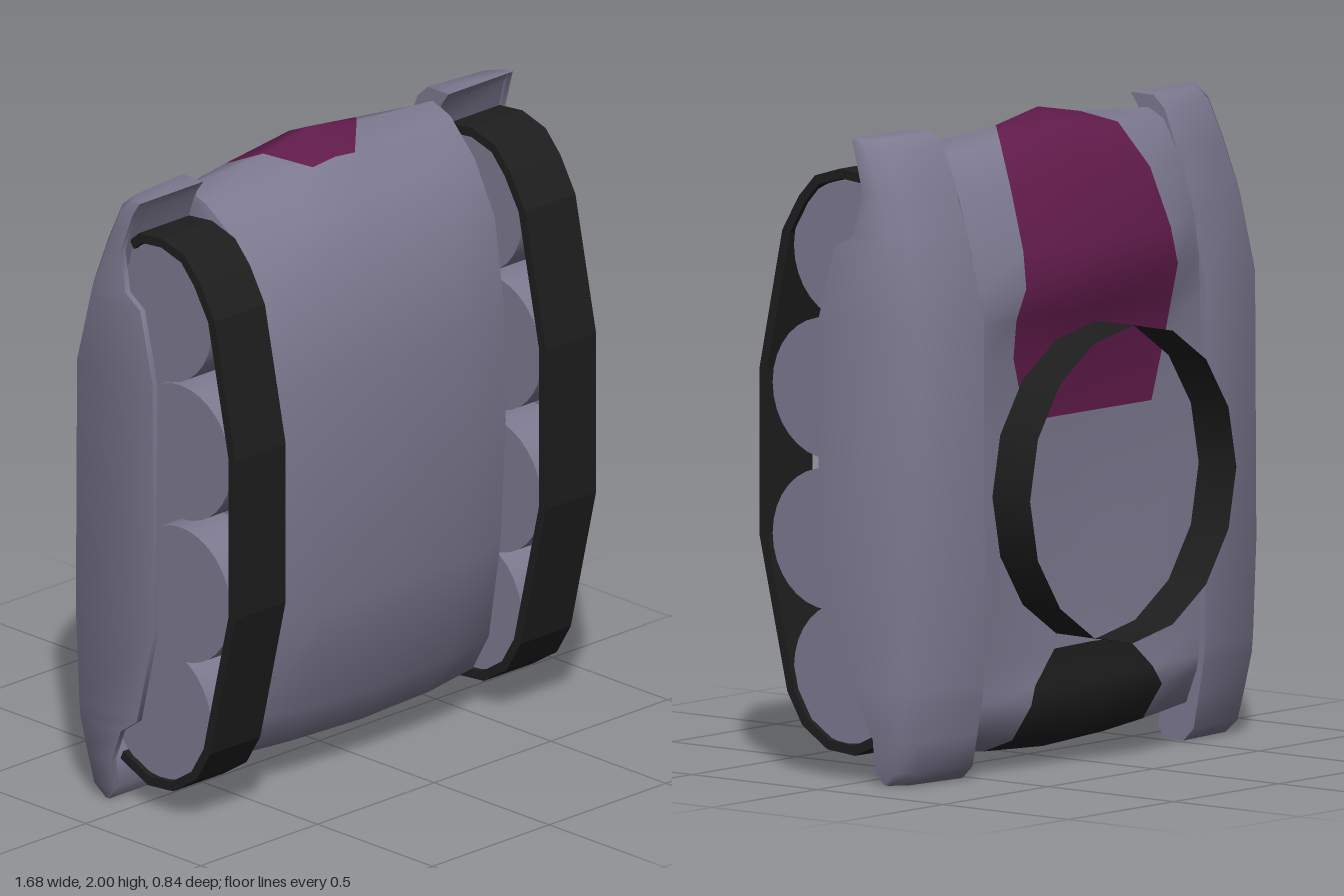
import * as THREE from 'three';
import { toCreasedNormals } from 'three/addons/utils/BufferGeometryUtils.js';

const armor = new THREE.MeshStandardMaterial({ color: 0x7d7a91 });
armor.name = 'slate armour';
const plum = new THREE.MeshStandardMaterial({ color: 0x621c4c });
plum.name = 'plum paint';
const black = new THREE.MeshStandardMaterial({ color: 0x1e1e1e, side: THREE.DoubleSide });
black.name = 'black rubber';

// Skin rows of points; paint(row, column) gives the material index
function skin(rows, closeRows, closeCols, crease, paint = () => 0) {
  const n = rows[0].length, pos = rows.flat(2), lists = [[], [], []];
  const at = (k) => new THREE.Vector3().fromArray(pos, k * 3);
  const tri = (list, a, b, c) => {
    const area = at(b).sub(at(a)).cross(at(c).sub(at(a))).length();
    if (area > 1e-7) list.push(a, b, c);
  };
  for (let i = 0; i < rows.length - (closeRows ? 0 : 1); i++) {
    for (let j = 0; j < n - (closeCols ? 0 : 1); j++) {
      const i2 = ((i + 1) % rows.length) * n, j2 = (j + 1) % n, i1 = i * n;
      const list = lists[paint(i, j)];
      tri(list, i1 + j, i1 + j2, i2 + j2);
      tri(list, i1 + j, i2 + j2, i2 + j);
    }
  }
  const geo = new THREE.BufferGeometry();
  geo.setAttribute('position', new THREE.Float32BufferAttribute(pos, 3));
  geo.setIndex(lists.flat());
  let start = 0;
  lists.forEach((l, m) => {
    if (l.length) geo.addGroup(start, l.length, m);
    start += l.length;
  });
  return toCreasedNormals(geo, crease);
}

function add(parent, name, geo, mat) {
  const mesh = new THREE.Mesh(geo, mat);
  mesh.name = name;
  parent.add(mesh);
  return mesh;
}

// Hull: lengthwise outline, each row crossing from side to side.
// [centre y, centre z, panel half width, edge y, edge z]
function hullGeometry() {
  const belly = [
    [0.065, 0.06, 0.28, 0.08, 0.04],
    [0.12, 0.18, 0.30, 0.14, 0.15],
    [0.25, 0.27, 0.30, 0.27, 0.23],
    [0.60, 0.33, 0.30, 0.60, 0.29],
    [1.00, 0.355, 0.30, 1.00, 0.315],
    [1.35, 0.35, 0.30, 1.35, 0.31],
    [1.65, 0.30, 0.30, 1.65, 0.26],
    [1.83, 0.19, 0.25, 1.81, 0.16],
  ];
  const plumPanel = [
    [1.93, 0.07, 0.09, 1.91, 0.04],
    [2.00, -0.04, 0.20, 1.94, -0.04],
    [1.96, -0.13, 0.28, 1.91, -0.10],
    [1.80, -0.22, 0.33, 1.79, -0.17],
    [1.60, -0.29, 0.35, 1.62, -0.22],
    [1.50, -0.31, 0.36, 1.50, -0.24],
    [1.40, -0.27, 0.37, 1.40, -0.245],
    [1.28, -0.245, 0.36, 1.28, -0.245],
  ];
  const deck = [[1.08, -0.24, 0.30, 1.08, -0.245]];
  const blackPanel = [
    [0.37, -0.25, 0.17, 0.36, -0.245],
    [0.26, -0.27, 0.28, 0.27, -0.24],
    [0.20, -0.285, 0.31, 0.22, -0.23],
    [0.08, -0.20, 0.31, 0.12, -0.19],
    [0.03, -0.06, 0.28, 0.07, -0.06],
  ];
  const outline = [belly, plumPanel, deck, blackPanel].flat();
  const rows = outline.map(([yc, zc, hw, ye, ze]) => {
    const drop = yc > 1 ? 0.6 : 0.35;
    const half = [
      [hw, yc + (ye - yc) * drop, zc + (ze - zc) * 0.2],
      [0.53 - Math.max(0, ze) * 0.13, ye, ze],
      [0.53, 1 + (ye - 1) * 0.98, ze * 0.5],
      [0.53, 1 + (ye - 1) * 0.96, 0],
    ];
    const mirrored = half.map(([x, y, z]) => [-x, y, z]).reverse();
    return [...mirrored, [0, yc, zc], ...half];
  });
  const paint = (i, j) => {
    if (j !== 3 && j !== 4) return 0;
    return plumPanel.includes(outline[i]) ? 1 : blackPanel.includes(outline[i]) ? 2 : 0;
  };
  return skin(rows, true, false, 1.1, paint);
}

// Fender with hanging side skirt: [y, deck z, skirt z, underside z, outer x]
function fenderGeometry(side) {
  const stations = [
    [0.00, -0.18, -0.10, -0.10, 0.80],
    [0.04, -0.22, -0.07, -0.08, 0.81],
    [0.14, -0.24, -0.07, -0.10, 0.82],
    [0.25, -0.26, -0.02, -0.15, 0.83],
    [0.30, -0.265, 0.05, -0.17, 0.83],
    [0.60, -0.27, 0.13, -0.18, 0.84],
    [1.42, -0.265, 0.13, -0.17, 0.84],
    [1.65, -0.21, 0.07, -0.10, 0.835],
    [1.69, -0.20, 0.00, -0.08, 0.83],
    [1.82, -0.155, -0.03, -0.04, 0.82],
    [1.94, -0.105, 0.01, 0.00, 0.81],
    [1.98, -0.06, 0.03, 0.03, 0.80],
  ];
  const rows = stations.map(([y, top, skirt, under, xo]) => {
    const section = [
      [xo, skirt], [xo, top + 0.065], [xo - 0.05, top + 0.022], [0.525, top],
      [0.525, under], [xo - 0.02, under], [xo - 0.02, skirt],
    ].map(([x, z]) => [x * side, y, z]);
    return side > 0 ? section : section.reverse();
  });
  // End caps
  const cap = (y, z) => rows[0].map(() => [0.66 * side, y, z]);
  return skin([cap(0, -0.13), ...rows, cap(1.98, 0)], false, true, 1.1);
}

// Track belt: thickened open path in (z, y)
function trackGeometry() {
  const path = [
    [-0.04, 1.835], [0.0, 1.87], [0.10, 1.88], [0.20, 1.85], [0.265, 1.78], [0.33, 1.67], [0.42, 1.24],
    [0.42, 0.72], [0.31, 0.25], [0.25, 0.15], [0.15, 0.085], [0.04, 0.075], [-0.08, 0.13],
  ].map(([z, y]) => new THREE.Vector2(z, y));
  const inner = path.map((p, i) => {
    const a = path[Math.max(i - 1, 0)], b = path[Math.min(i + 1, path.length - 1)];
    const d = b.clone().sub(a).normalize();
    return new THREE.Vector2(p.x + d.y * 0.03, p.y - d.x * 0.03);
  });
  const shape = new THREE.Shape([...path, ...inner.reverse()]);
  const geo = new THREE.ExtrudeGeometry(shape, { depth: 0.215, bevelEnabled: false });
  return geo.translate(0, 0, -0.1075).rotateY(-Math.PI / 2);
}

export function createModel() {
  const model = new THREE.Group();
  model.name = 'tracked hull';
  add(model, 'hull', hullGeometry(), [armor, plum, black]);

  // Open turret ring on the deck
  const ring = add(model, 'turretRing',
    new THREE.CylinderGeometry(0.49, 0.49, 0.15, 16, 1, true).rotateX(Math.PI / 2), black);
  ring.position.set(0, 0.87, -0.345);

  // Running gear on both sides
  const wheels = [[1.625, 0.08], [1.195, 0.165], [0.73, 0.165], [0.325, 0.08]];
  for (const side of [1, -1]) {
    const gear = new THREE.Group();
    gear.name = side > 0 ? 'leftRunningGear' : 'rightRunningGear';
    model.add(gear);
    add(gear, 'fender', fenderGeometry(side), armor);
    add(gear, 'track', trackGeometry(), black).position.x = side * 0.665;
    for (const [y, z] of wheels) {
      const wheel = add(gear, 'roadWheel',
        new THREE.CylinderGeometry(0.218, 0.218, 0.18, 32).rotateZ(Math.PI / 2), armor);
      wheel.position.set(side * 0.665, y, z);
    }
  }
  return model;
}
